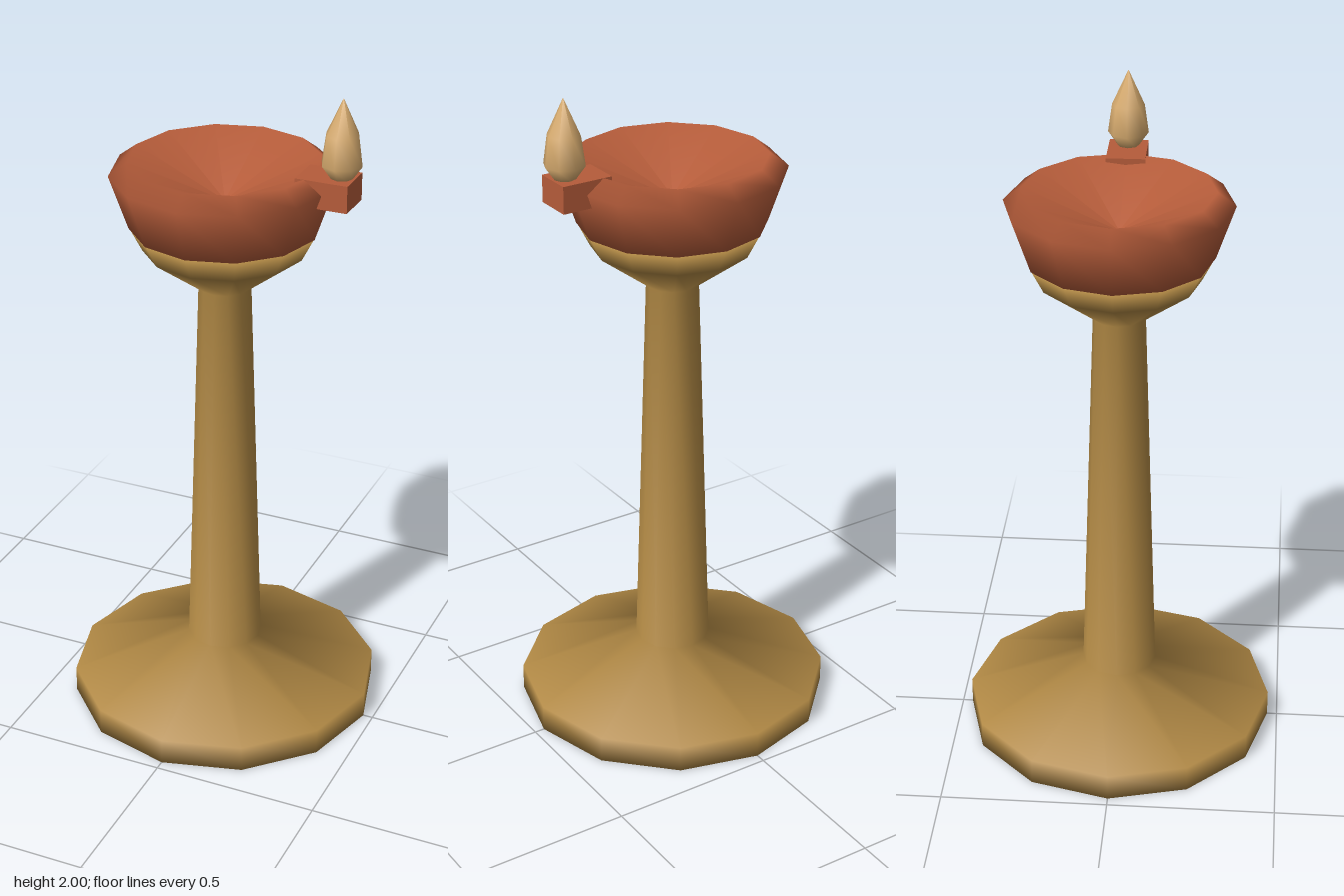
import * as THREE from 'three';

const material = (name, color) => {
  const m = new THREE.MeshStandardMaterial({ color });
  m.name = name;
  return m;
};

// Surface of revolution from [radius, height] pairs, listed bottom to top
function turned(name, profile, sides, mat) {
  const points = profile.map(([r, y]) => new THREE.Vector2(r, y));
  const mesh = new THREE.Mesh(new THREE.LatheGeometry(points, sides), mat);
  mesh.name = name;
  return mesh;
}

export function createModel() {
  const brass = material('brass', 0xb08844);
  const clay = material('clay', 0xb55c3a);
  const flameColor = material('flame', 0xd9ad70);
  const model = new THREE.Group();
  model.name = 'oilLampOnStand';

  // Stand: foot, tapered post and flared cup in one smooth profile
  model.add(turned('stand', [
    [0, 0], [0.47, 0], [0.47, 0.08], [0.113, 0.2],
    [0.077, 1.38], [0.237, 1.5], [0.273, 1.57], [0, 1.57],
  ], 12, brass));

  // Shallow bowl with a dished top
  model.add(turned('bowl', [
    [0, 1.57], [0.275, 1.57], [0.33, 1.73], [0.277, 1.77], [0, 1.645],
  ], 12, clay));

  // Wick spout crossing the rim on the left
  const spout = new THREE.Mesh(new THREE.BoxGeometry(0.155, 0.08, 0.115), clay);
  spout.name = 'spout';
  spout.position.set(0.3125, 1.73, 0);
  model.add(spout);

  // Flame standing on the spout
  const flame = turned('flame', [
    [0, 1.77], [0.032, 1.77], [0.06, 1.81], [0.048, 1.895], [0, 2],
  ], 8, flameColor);
  flame.position.x = 0.351;
  model.add(flame);

  return model;
}
